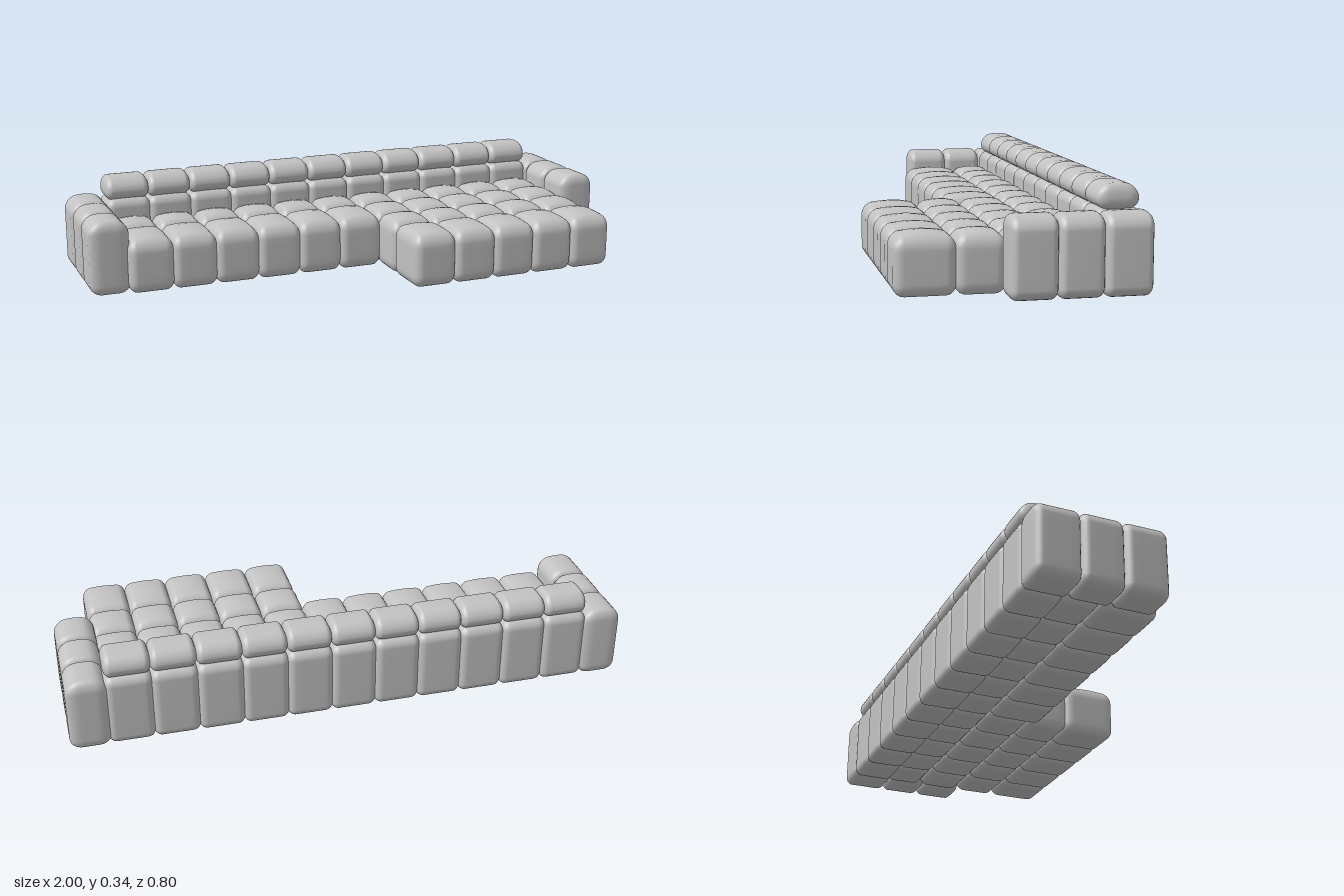
import * as THREE from 'three';
import { mergeVertices } from 'three/addons/utils/BufferGeometryUtils.js';

const SEGMENTS = 10;
const CORE = 0.4; // share of each face that lies outside the rounded edges

// Padded block: box with elliptical edges (radii r) and a crowned top.
// crown = [height, along x?, along z?]
function cushionGeometry(size, r, crown) {
  const half = size.map((s) => s / 2);
  let geo = new THREE.BoxGeometry(2, 2, 2, SEGMENTS, SEGMENTS, SEGMENTS);
  geo.deleteAttribute('normal');
  geo.deleteAttribute('uv');
  geo = mergeVertices(geo, 1e-4);
  const pos = geo.attributes.position;
  const dir = new THREE.Vector3();
  for (let i = 0; i < pos.count; i++) {
    const t = [pos.getX(i), pos.getY(i), pos.getZ(i)];
    const bend = t.map((v) =>
      Math.sign(v) * Math.tan((Math.max(0, Math.abs(v) - CORE) / (1 - CORE)) * Math.PI / 4));
    dir.fromArray(bend).normalize();
    const p = t.map((v, k) =>
      THREE.MathUtils.clamp(v / CORE, -1, 1) * (half[k] - r[k]) + dir.getComponent(k) * r[k]);
    const u = crown[1] ? p[0] / half[0] : 0;
    const w = crown[2] ? p[2] / half[2] : 0;
    const lift = crown[0] * (1 - u * u) * (1 - w * w) * Math.max(0, p[1] / half[1]);
    pos.setXYZ(i, p[0], p[1] + lift, p[2]);
  }
  geo.computeVertexNormals();
  return geo;
}

export function createModel() {
  const model = new THREE.Group();
  model.name = 'sectionalSofa';
  const fabric = new THREE.MeshStandardMaterial({ color: 0xc2c2c2 });
  fabric.name = 'greyFabric';

  const section = (name) => {
    const group = new THREE.Group();
    group.name = name;
    model.add(group);
    return group;
  };

  // Ranges give the finished extents, crown included
  function cushion(parent, name, [x0, x1], [y0, y1], [z0, z1], r, crown) {
    const top = y1 - crown[0];
    const mesh = new THREE.Mesh(
      cushionGeometry([x1 - x0, top - y0, z1 - z0], r, crown), fabric);
    mesh.name = name;
    mesh.position.set((x0 + x1) / 2, (y0 + top) / 2, (z0 + z1) / 2);
    parent.add(mesh);
  }

  const COLUMNS = 11;
  const STEP = 1.73 / COLUMNS;
  const LAP = 0.003; // neighbours press slightly into each other
  const column = (i) => [-0.865 + i * STEP - LAP, -0.865 + (i + 1) * STEP + LAP];

  const seat = section('seat');
  const chaise = section('chaise');
  const back = section('backrest');
  const seatRadii = [0.03, 0.04, 0.035];
  const seatCrown = [0.018, true, true];

  for (let i = 0; i < COLUMNS; i++) {
    const x = column(i);
    const onChaise = i >= 6;
    // Seat rows, with the chaise running further forward on the left side
    cushion(seat, 'rearSeatCushion', x, [0, 0.205], [-0.27, -0.117], seatRadii, seatCrown);
    const rows = onChaise
      ? [[-0.123, 0.046], [0.04, 0.204], [0.198, 0.4]]
      : [[-0.123, 0.087]];
    for (const z of rows) {
      cushion(onChaise ? chaise : seat, onChaise ? 'chaiseCushion' : 'frontSeatCushion',
        x, [0, 0.205], z, seatRadii, seatCrown);
    }
    // Upright back pads and the bolsters lying on top
    cushion(back, 'backPad', x, [0, 0.268], [-0.396, -0.242],
      [0.028, 0.03, 0.03], [0.008, true, true]);
    cushion(back, 'backBolster', x, [0.256, 0.341], [-0.391, -0.249],
      [0.025, 0.033, 0.04], [0.014, false, true]);
  }

  // Arms: three tall pads on each side
  for (const side of [-1, 1]) {
    const arm = section(side > 0 ? 'leftArm' : 'rightArm');
    const x = side > 0 ? [0.857, 1] : [-1, -0.857];
    for (const z of [[-0.4, -0.239], [-0.243, -0.091], [-0.095, 0.062]]) {
      cushion(arm, 'armPad', x, [0, 0.266], z, [0.042, 0.036, 0.026], [0.014, true, false]);
    }
  }
  return model;
}
